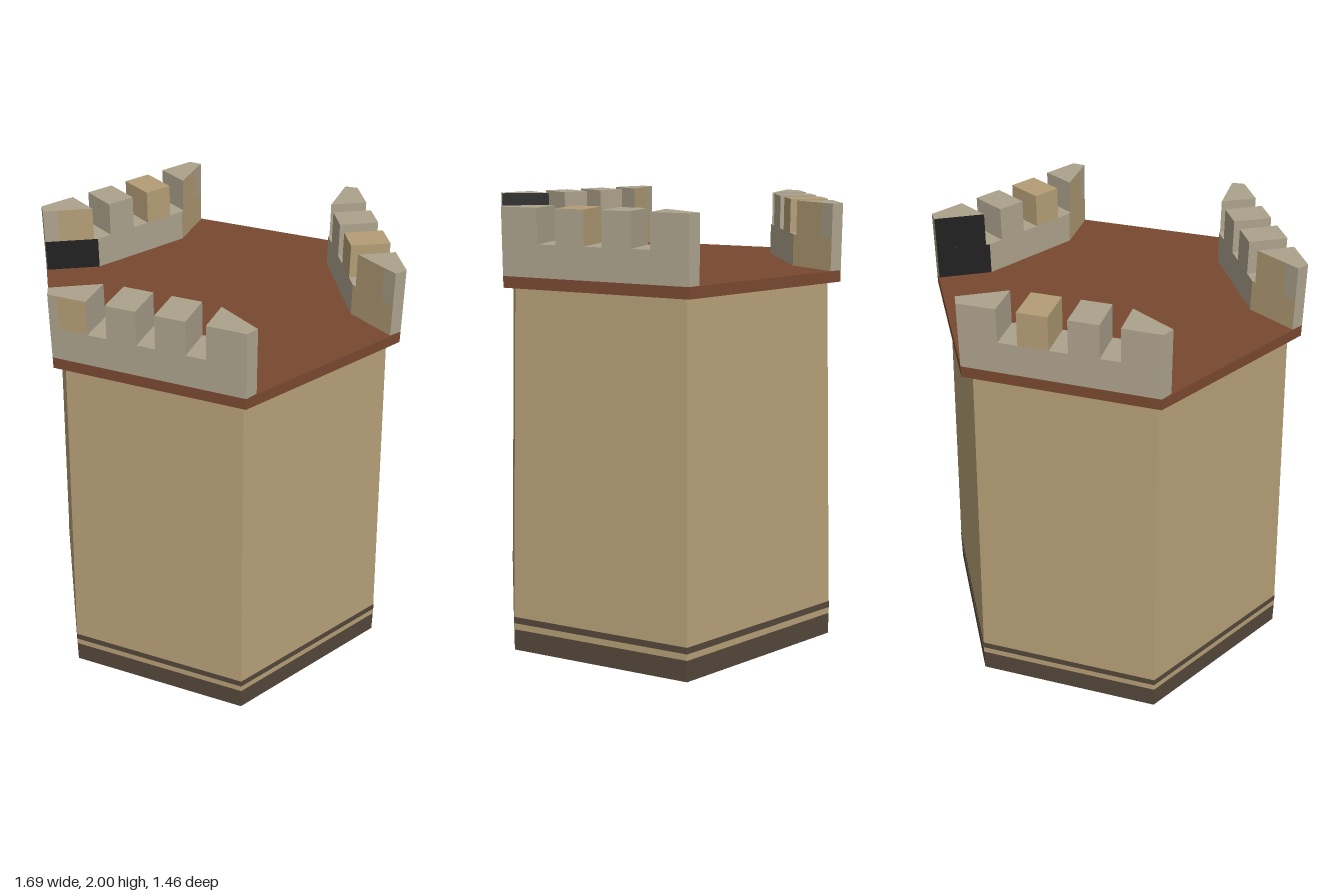
import * as THREE from 'three';

const mat = (name, color) => {
  const m = new THREE.MeshStandardMaterial({ color });
  m.name = name;
  return m;
};

// Upright prism over a convex plan of [x, z] points; one material per side, plus one for the caps
function prism(name, plan, y0, y1, sides, cap) {
  const pos = [], mats = [], geo = new THREE.BufferGeometry();
  const add = (m, ...corners) => {
    let i = mats.indexOf(m);
    if (i < 0) i = mats.push(m) - 1;
    geo.addGroup(pos.length / 3, corners.length, i);
    corners.forEach(c => pos.push(...c));
  };
  const at = (i, y) => {
    const [x, z] = plan[i % plan.length];
    return [x, y, z];
  };
  plan.forEach((_, i) => {
    const a = at(i, y0), b = at(i + 1, y0), c = at(i + 1, y1), d = at(i, y1);
    add(sides[i] || cap, a, b, c, a, c, d);
  });
  for (let i = 1; i < plan.length - 1; i++) {
    add(cap, at(0, y1), at(i, y1), at(i + 1, y1));
    add(cap, at(0, y0), at(i + 1, y0), at(i, y0));
  }
  geo.setAttribute('position', new THREE.Float32BufferAttribute(pos, 3));
  geo.computeVertexNormals();
  const mesh = new THREE.Mesh(geo, mats);
  mesh.name = name;
  return mesh;
}

// Six-sided tapered section with corners on the x axis
function hexSection(name, y0, y1, r0, r1, material) {
  let geo = new THREE.CylinderGeometry(r1, r0, y1 - y0, 6);
  geo.rotateY(Math.PI / 2);
  geo = geo.toNonIndexed();
  geo.computeVertexNormals();
  const mesh = new THREE.Mesh(geo, material);
  mesh.position.y = (y0 + y1) / 2;
  mesh.name = name;
  return mesh;
}

const mirror = plan => plan.map(([x, z]) => [-x, z]).reverse();

export function createModel() {
  const sand = mat('sandstone', 0xb39d75);
  const stone = mat('grey stone', 0xaca28c);
  const brown = mat('brown deck', 0x78482f);
  const dark = mat('dark plinth', 0x53463a);
  const black = mat('black', 0x202020);

  const model = new THREE.Group();
  model.name = 'tower';

  // Tower body, from the plinth up to the deck
  const R = 0.845;
  model.add(
    hexSection('plinth', 0, 0.1, R, R, dark),
    hexSection('lowerCourse', 0.1, 0.13, R, R, sand),
    hexSection('darkCourse', 0.13, 0.16, R, R, dark),
    hexSection('towerWalls', 0.16, 1.66, R - 0.002, 0.787, sand),
    hexSection('deck', 1.66, 1.71, R, R, brown),
  );

  // Plans of the parapet pieces, for the front side
  const out = 0.732, inn = 0.56, Y0 = 1.71, Y1 = 1.85, Y2 = 2;
  const base = [[-0.4225, out], [0.4225, out], [0.447, 0.68], [0.24, inn], [-0.24, inn], [-0.447, 0.68]];
  const endMerlon = [[0.255, out], [0.38, out], [0.39, 0.647], [0.255, 0.569]];
  const cornerPost = [[0.38, out], [0.4225, out], [0.447, 0.68], [0.39, 0.647]];
  const block = (a, b) => [[a, out], [b, out], [b, inn], [a, inn]];

  // One parapet on every second side
  const parapets = [
    { name: 'frontParapet', turn: 0, second: stone, secondFace: stone, endFace: sand, rightEnd: black },
    { name: 'backLeftParapet', turn: 1, second: sand, secondFace: stone, endFace: stone, rightEnd: black },
    { name: 'backRightParapet', turn: -1, second: sand, secondFace: sand, endFace: stone, rightEnd: sand },
  ];
  for (const p of parapets) {
    const g = new THREE.Group();
    g.name = p.name;
    g.add(
      prism('parapetBase', base, Y0, Y1, [stone, stone, black, stone, sand, stone], stone),
      prism('innerMerlon', block(-0.17, -0.04), Y1, Y2, [p.secondFace], p.second),
      prism('innerMerlon', block(0.04, 0.17), Y1, Y2, [], stone),
      prism('endMerlon', endMerlon, Y1, Y2, [stone, stone, p.rightEnd, stone], stone),
      prism('endMerlon', mirror(endMerlon), Y1, Y2, [sand, stone, p.endFace, stone], stone),
      prism('cornerPost', cornerPost, Y1, Y2, [stone, stone, p.rightEnd === black ? black : stone], stone),
      prism('cornerPost', mirror(cornerPost), Y1, Y2, [], stone),
    );
    g.rotation.y = p.turn * Math.PI * 2 / 3;
    model.add(g);
  }
  return model;
}
